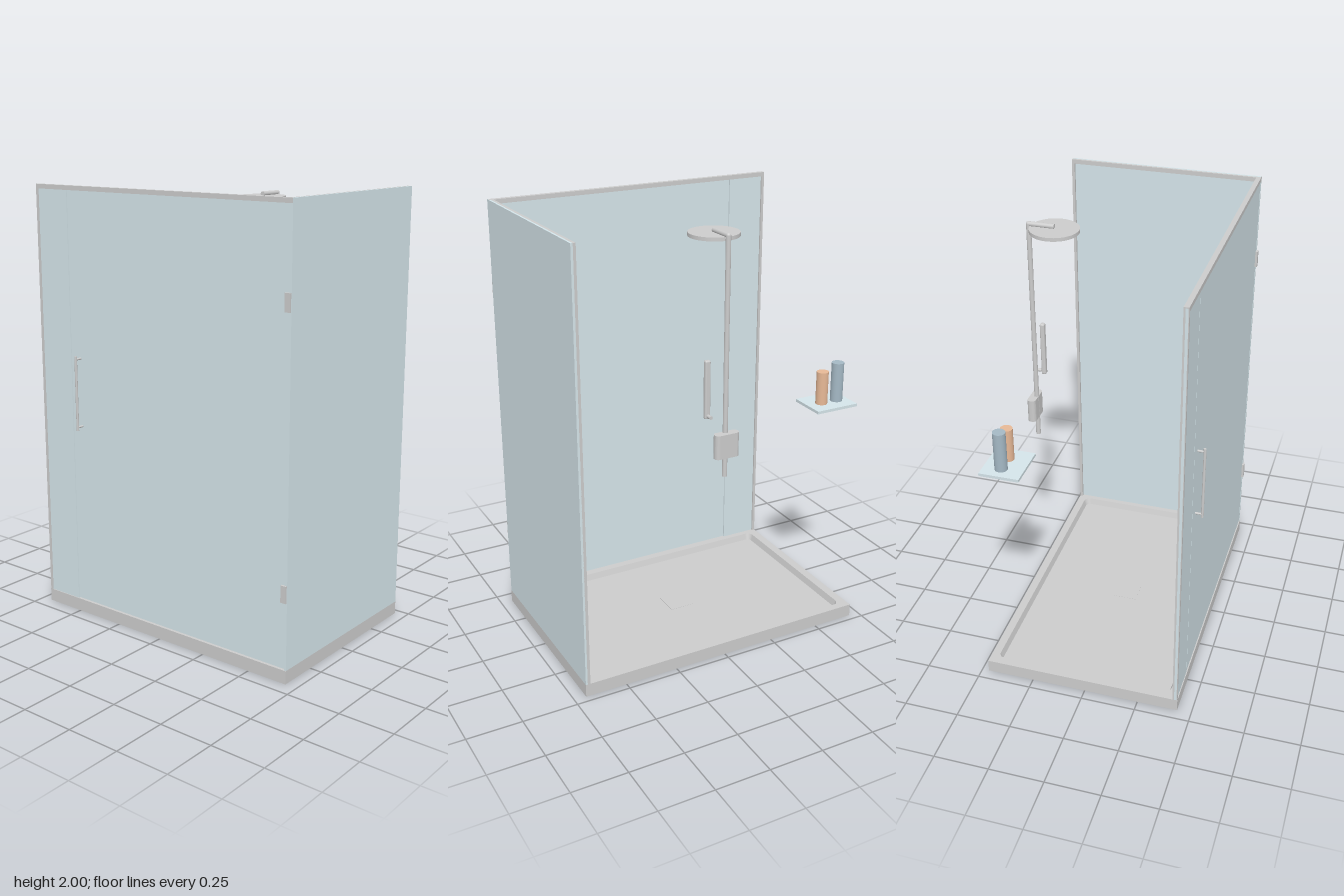
import * as THREE from 'three';
import { RoundedBoxGeometry } from 'three/addons/geometries/RoundedBoxGeometry.js';

const mat = color => new THREE.MeshStandardMaterial({ color });
const grey = mat(0xcccccc);
const glass = mat(0xd4e4e9);

function add(group, name, geometry, material = grey) {
  const mesh = new THREE.Mesh(geometry, material);
  mesh.name = name;
  group.add(mesh);
  return mesh;
}

// Box given by its lower and upper limits on each axis
function box(group, name, [x0, x1], [y0, y1], [z0, z1], material) {
  const mesh = add(group, name, new THREE.BoxGeometry(x1 - x0, y1 - y0, z1 - z0), material);
  mesh.position.set((x0 + x1) / 2, (y0 + y1) / 2, (z0 + z1) / 2);
}

// Cylinder between two points
function rod(group, name, a, b, radius, material, sides = 24) {
  const from = new THREE.Vector3(...a), to = new THREE.Vector3(...b);
  const dir = to.clone().sub(from);
  const mesh = add(group, name, new THREE.CylinderGeometry(radius, radius, dir.length(), sides), material);
  mesh.position.copy(from).add(to).multiplyScalar(0.5);
  mesh.quaternion.setFromUnitVectors(new THREE.Vector3(0, 1, 0), dir.normalize());
}

// Rounded rectangle outline as points; shape y becomes -z once laid flat
function roundedRect(x0, x1, z0, z1, r, steps = 8) {
  const corners = [[x1 - r, -z1 + r], [x1 - r, -z0 - r], [x0 + r, -z0 - r], [x0 + r, -z1 + r]];
  const points = [];
  corners.forEach(([cx, cy], k) => {
    for (let i = 0; i <= steps; i++) {
      const t = (k - 1 + i / steps) * Math.PI / 2;
      points.push(new THREE.Vector2(cx + r * Math.cos(t), cy + r * Math.sin(t)));
    }
  });
  return points;
}

function extrudeUp(shape, y0, y1) {
  return new THREE.ExtrudeGeometry(shape, { depth: y1 - y0, bevelEnabled: false })
    .rotateX(-Math.PI / 2).translate(0, y0, 0);
}

const X = [-0.7, 0.695], Z = [-0.468, 0.435];
const TRAY = 0.06, FLOOR = 0.03, TOP = 2;

function buildTray() {
  const g = new THREE.Group();
  g.name = 'tray';
  box(g, 'trayBase', X, [0, FLOOR], Z);
  // Raised rim around the basin
  const upper = roundedRect(-0.66, 0.66, -0.432, 0.392, 0.03);
  const lower = roundedRect(-0.65, 0.65, -0.422, 0.382, 0.022);
  const rim = new THREE.Shape();
  rim.moveTo(X[0], -Z[1]).lineTo(X[1], -Z[1]).lineTo(X[1], -Z[0]).lineTo(X[0], -Z[0]);
  rim.holes.push(new THREE.Path(upper));
  add(g, 'trayRim', extrudeUp(rim, FLOOR, TRAY));
  // Sloping basin wall between two outlines
  const pos = [], index = [], n = upper.length;
  for (let i = 0; i < n; i++) {
    pos.push(upper[i].x, TRAY, -upper[i].y, lower[i].x, FLOOR, -lower[i].y);
    const a = 2 * i, b = 2 * ((i + 1) % n);
    index.push(a, b, a + 1, b, b + 1, a + 1);
  }
  const wall = new THREE.BufferGeometry();
  wall.setAttribute('position', new THREE.Float32BufferAttribute(pos, 3));
  wall.setIndex(index);
  wall.computeVertexNormals();
  add(g, 'basinWall', wall);
  box(g, 'drainCover', [-0.06, 0.06], [FLOOR - 0.005, FLOOR + 0.001], [-0.06, 0.06]);
  return g;
}

function buildEnclosure() {
  const g = new THREE.Group();
  g.name = 'enclosure';
  // Glass panels
  box(g, 'fixedPanel', [-0.7, -0.513], [TRAY, 1.995], [0.42, 0.431], glass);
  box(g, 'door', [-0.509, 0.684], [TRAY + 0.006, 1.981], [0.42, 0.431], glass);
  box(g, 'sidePanel', [0.685, 0.695], [TRAY, TOP], [Z[0], 0.433], glass);
  // Head rails and wall channels
  box(g, 'frontRail', [-0.7, 0.694], [1.98, TOP], [0.412, 0.434]);
  box(g, 'sideRail', [0.673, 0.686], [1.98, TOP], [Z[0], 0.412]);
  box(g, 'frontWallChannel', [-0.7, -0.687], [TRAY, 1.98], [0.412, 0.434]);
  box(g, 'sideWallChannel', [0.673, 0.686], [TRAY, 1.98], [Z[0], -0.455]);
  // Hinges clamp both faces of the door
  for (const y of [0.4, 1.603])
    box(g, 'hinge', [0.667, 0.693], [y - 0.038, y + 0.038], [0.411, 0.441]);
  // Pull handle on two standoffs
  const hx = -0.454;
  rod(g, 'handleBar', [hx, 0.905, 0.462], [hx, 1.25, 0.462], 0.006);
  for (const y of [0.92, 1.235])
    rod(g, 'handleStandoff', [hx, y, 0.428], [hx, y, 0.462], 0.005);
  return g;
}

function buildShower() {
  const g = new THREE.Group();
  g.name = 'shower';
  const cz = -0.438;
  // Riser column, arm and overhead disc
  rod(g, 'column', [0, 0.89, cz], [0, 1.945, cz], 0.011);
  add(g, 'elbow', new THREE.SphereGeometry(0.011, 24, 12)).position.set(0, 1.945, cz);
  rod(g, 'arm', [0, 1.945, cz], [0, 1.945, -0.322], 0.011);
  rod(g, 'showerHead', [0, 1.922, -0.322], [0, 1.938, -0.322], 0.109, grey, 64);
  // Valve body with rounded upright edges
  const valve = new THREE.Shape(roundedRect(-0.058, 0.058, -0.468, -0.428, 0.018));
  add(g, 'valve', extrudeUp(valve, 0.985, 1.095));
  // Hand shower on its wall peg
  add(g, 'handShower', new RoundedBoxGeometry(0.026, 0.26, 0.022, 3, 0.007)).position.set(0.085, 1.3, -0.427);
  rod(g, 'handShowerPeg', [0.085, 1.185, -0.464], [0.085, 1.185, -0.428], 0.008);
  return g;
}

function buildShelf() {
  const g = new THREE.Group();
  g.name = 'shelf';
  box(g, 'shelfPlate', [-0.68, -0.47], [1.09, 1.103], [-0.45, -0.272], glass);
  rod(g, 'tallBottle', [-0.622, 1.103, -0.37], [-0.622, 1.285, -0.37], 0.028, mat(0xa4b8c4), 32);
  rod(g, 'shortBottle', [-0.541, 1.103, -0.37], [-0.541, 1.255, -0.37], 0.027, mat(0xe6b896), 32);
  return g;
}

export function createModel() {
  const model = new THREE.Group();
  model.name = 'showerEnclosure';
  model.add(buildTray(), buildEnclosure(), buildShower(), buildShelf());
  return model;
}
